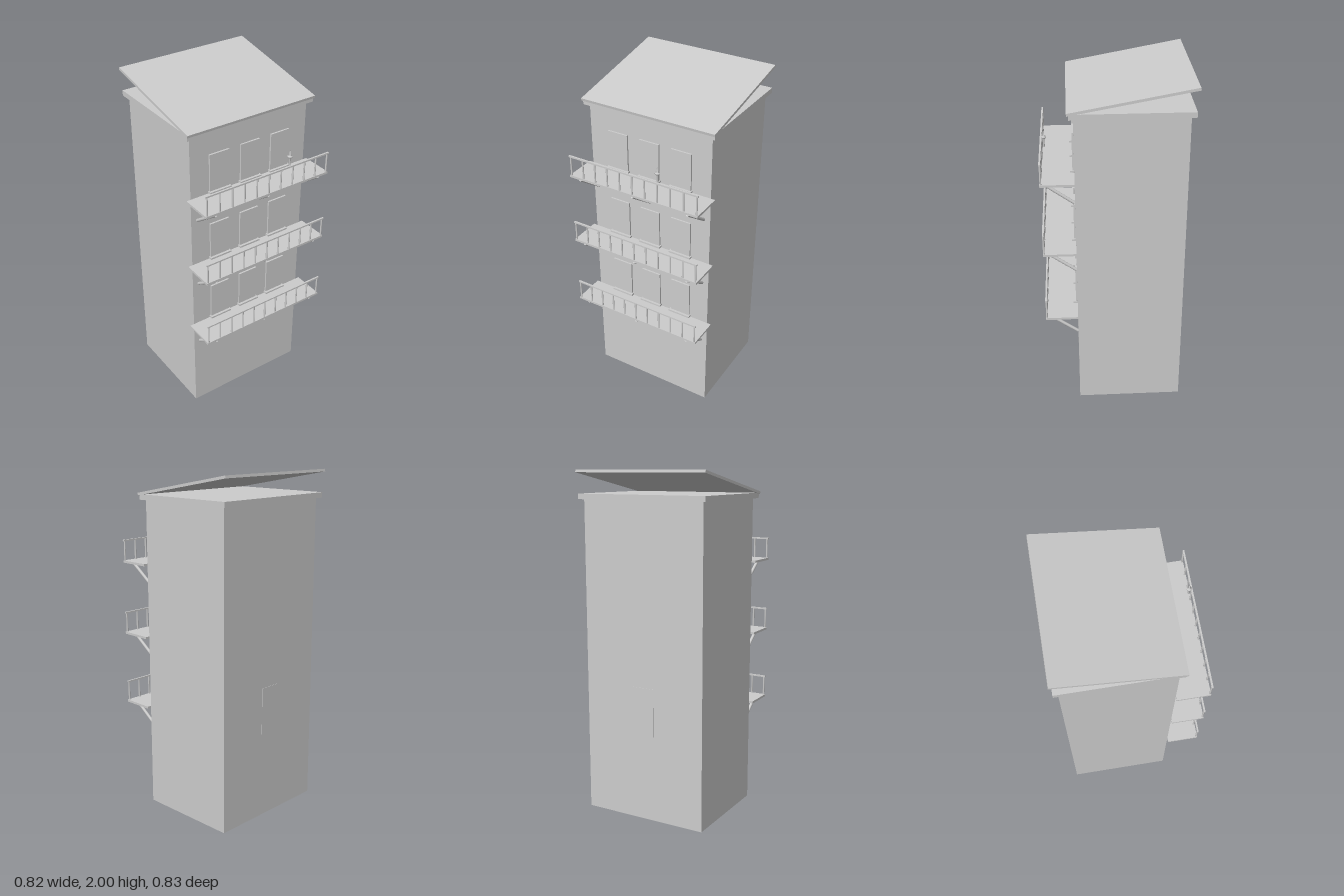
import * as THREE from 'three';

export function createModel() {
  const model = new THREE.Group();
  const plaster = new THREE.MeshStandardMaterial({ color: 0xcccccc });
  plaster.name = 'plaster grey';

  function add(parent, name, geometry, x, y, z) {
    const mesh = new THREE.Mesh(geometry, plaster);
    mesh.name = name;
    mesh.position.set(x, y, z);
    parent.add(mesh);
    return mesh;
  }
  // Box given by its extents along each axis
  function box(parent, name, x0, x1, y0, y1, z0, z1) {
    return add(parent, name, new THREE.BoxGeometry(x1 - x0, y1 - y0, z1 - z0),
      (x0 + x1) / 2, (y0 + y1) / 2, (z0 + z1) / 2);
  }
  // Round bar between two points
  function bar(parent, name, a, b, radius) {
    const dir = b.clone().sub(a);
    const mesh = add(parent, name, new THREE.CylinderGeometry(radius, radius, dir.length(), 12),
      (a.x + b.x) / 2, (a.y + b.y) / 2, (a.z + b.z) / 2);
    mesh.quaternion.setFromUnitVectors(new THREE.Vector3(0, 1, 0), dir.normalize());
    return mesh;
  }

  // Tower body, cornice and tilted roof
  const front = 0.23, back = -0.378;
  box(model, 'body', -0.38, 0.38, 0, 1.84, back, front);
  box(model, 'cornice', -0.405, 0.405, 1.838, 1.869, -0.403, 0.255);
  const roof = add(model, 'roof', new THREE.BoxGeometry(0.82, 0.015, 0.69), 0, 1.931, -0.075);
  roof.rotation.x = Math.atan2(0.125, 0.68);

  // Back window
  box(model, 'backWindow', -0.067, 0.067, 0.51, 0.79, back - 0.002, back + 0.002);

  // One balcony with its doors for each upper floor
  for (const y of [0.603, 1.033, 1.463]) {
    const floor = new THREE.Group();
    floor.name = 'balcony';
    floor.position.y = y;
    model.add(floor);
    box(floor, 'slab', -0.405, 0.405, 0, 0.013, front, 0.416);
    box(floor, 'handrail', -0.405, 0.405, 0.125, 0.134, 0.406, 0.416);

    const posts = 11;
    for (let i = 0; i < posts; i++) {
      const x = -0.396 + (0.792 * i) / (posts - 1);
      bar(floor, 'post', new THREE.Vector3(x, 0.01, 0.41), new THREE.Vector3(x, 0.127, 0.41), 0.005);
    }
    for (const x of [-0.341, 0, 0.341]) {
      bar(floor, 'brace', new THREE.Vector3(x, -0.002, 0.408), new THREE.Vector3(x, -0.13, 0.232), 0.009);
    }
    for (const x of [-0.2, 0, 0.2]) {
      box(floor, 'door', x - 0.062, x + 0.062, 0.013, 0.247, front - 0.005, front + 0.01);
      box(floor, 'doorStep', x - 0.069, x + 0.069, 0.018, 0.028, front, front + 0.024);
    }
  }

  // Small ornament above the top handrail
  const profile = [[0, 1.585], [0.005, 1.585], [0.005, 1.63], [0.014, 1.637],
    [0.014, 1.645], [0.004, 1.647], [0.003, 1.674], [0, 1.674]]
    .map(([r, y]) => new THREE.Vector2(r, y));
  const ornament = new THREE.LatheGeometry(profile, 16);
  add(model, 'ornament', ornament, 0.15, 0, 0.391);

  return model;
}
